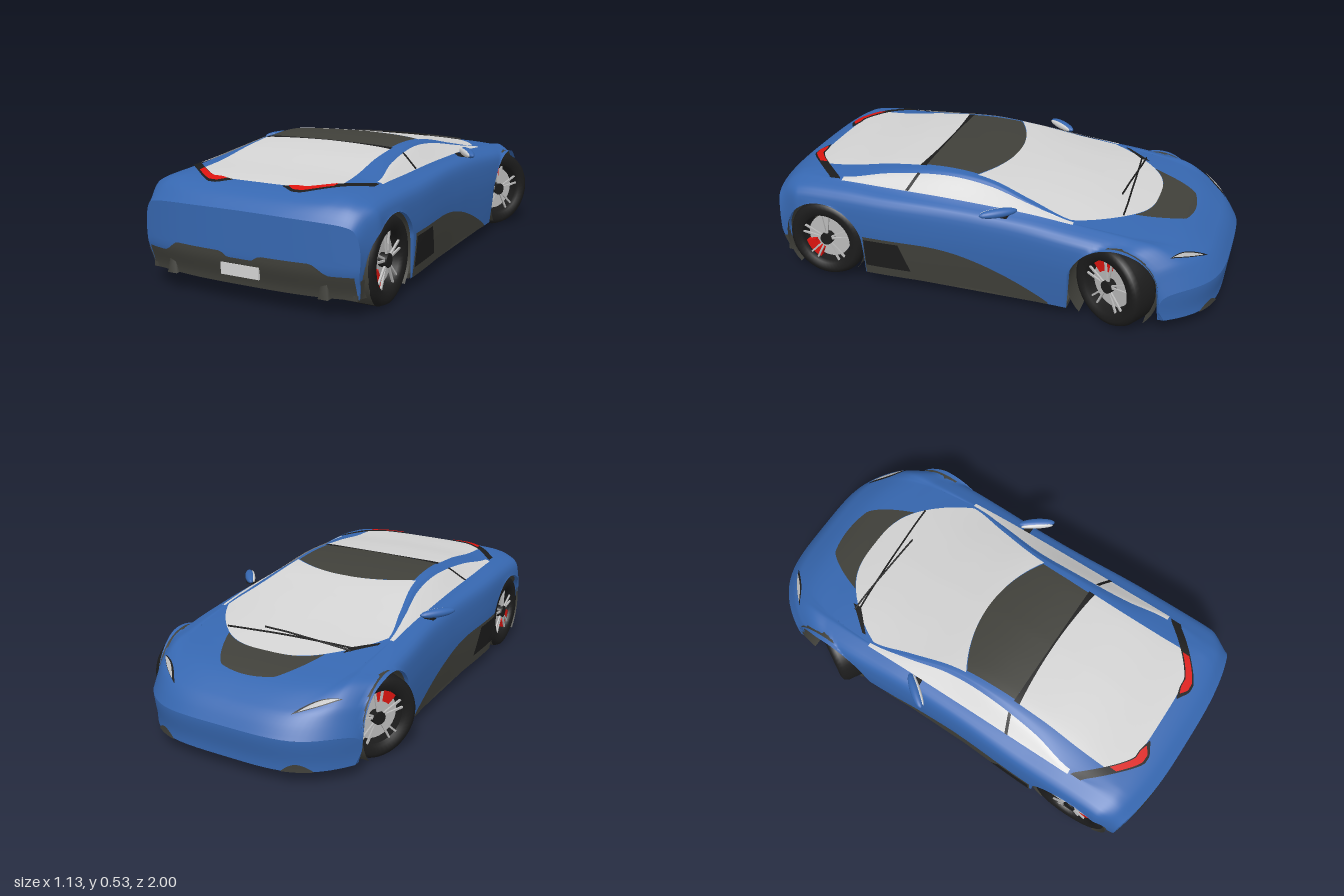
import * as THREE from 'three';

const V = (x, y, z) => new THREE.Vector3(x, y, z);
const mat = (name, color) =>
  Object.assign(new THREE.MeshStandardMaterial({ color, side: THREE.DoubleSide }), { name });
const { clamp, lerp, smoothstep } = THREE.MathUtils;

// Body stations: s, centre height, glass edge x/y, pillar x/y, belt height
const STATIONS = [
  [-1.00, 0.206, 0.20, 0.205, 0.32, 0.202, 0.200],
  [-0.97, 0.252, 0.22, 0.252, 0.33, 0.252, 0.248],
  [-0.93, 0.290, 0.25, 0.293, 0.35, 0.300, 0.302],
  [-0.82, 0.350, 0.33, 0.352, 0.38, 0.358, 0.362],
  [-0.67, 0.385, 0.37, 0.380, 0.395, 0.380, 0.380],
  [-0.38, 0.442, 0.395, 0.414, 0.405, 0.412, 0.408],
  [-0.20, 0.478, 0.355, 0.455, 0.38, 0.448, 0.425],
  [0.00, 0.514, 0.312, 0.503, 0.345, 0.488, 0.434],
  [0.20, 0.528, 0.30, 0.520, 0.342, 0.505, 0.440],
  [0.45, 0.512, 0.30, 0.503, 0.362, 0.485, 0.443],
  [0.65, 0.482, 0.31, 0.472, 0.40, 0.455, 0.446],
  [0.86, 0.455, 0.315, 0.453, 0.37, 0.450, 0.437],
  [0.94, 0.427, 0.30, 0.426, 0.365, 0.423, 0.414],
  [1.00, 0.380, 0.20, 0.377, 0.32, 0.372, 0.360],
];
const AXLES = [-0.58, 0.72], ARCH = 0.188, HUB = 0.178, BELT = 0.425, N = 35;
const halfWidth = s => 0.495 + 0.014 * smoothstep(Math.abs(s), 0.05, 0.5)
  - 0.03 * smoothstep(s, 0.86, 1) - 0.016 * smoothstep(-s, 0.8, 1);
const lowEdge = s => 0.05 + 0.015 * smoothstep(-s, 0.5, 0.75) + 0.03 * smoothstep(s, 0.6, 0.86);

// Smooth interpolation of one column of the station table
function at(s, c) {
  let i = 0;
  while (i < STATIONS.length - 2 && s > STATIONS[i + 1][0]) i++;
  const slope = k => {
    const a = STATIONS[Math.max(k - 1, 0)], b = STATIONS[Math.min(k + 1, STATIONS.length - 1)];
    return (b[c] - a[c]) / (b[0] - a[0]);
  };
  const p = STATIONS[i], q = STATIONS[i + 1], h = q[0] - p[0], t = clamp((s - p[0]) / h, 0, 1);
  const t2 = t * t, t3 = t2 * t;
  return (2 * t3 - 3 * t2 + 1) * p[c] + (t3 - 2 * t2 + t) * h * slope(i)
    + (3 * t2 - 2 * t3) * q[c] + (t3 - t2) * h * slope(i + 1);
}

// Half cross-section from the centre line down to the sill
const cache = new Map();
function section(s) {
  if (!cache.has(s)) {
    const [yc, xg, yg, xp, yp, yb] = [1, 2, 3, 4, 5, 6].map(c => at(s, c));
    const w = halfWidth(s), low = lowEdge(s);
    const pts = [[0, yc], [xg * 0.55, lerp(yc, yg, 0.3)], [xg, yg], [xp, yp], [BELT, yb],
      [w - 0.015, lerp(yb, low, 0.1)], [w, lerp(yb, low, 0.35)],
      [w - 0.004, lerp(yb, low, 0.65)], [w - 0.018, low]];
    cache.set(s, new THREE.SplineCurve(pts.map(p => new THREE.Vector2(...p))).getPoints(N));
  }
  return cache.get(s);
}

// Bends the ends round in plan and tucks the bumpers under
function warp(x, y, s) {
  const u = Math.abs(x) / 0.5, tuck = smoothstep(0.2 - y, 0, 0.12);
  return s + 0.23 * smoothstep(-s, 0.4, 1) * u ** 4 - 0.065 * smoothstep(s, 0.75, 1) * u ** 3
    - 0.03 * tuck * smoothstep(s, 0.88, 1) + 0.015 * tuck * smoothstep(-s, 0.85, 1);
}
function archHeight(z) {
  for (const c of AXLES) if (Math.abs(z - c) < ARCH) return HUB + Math.sqrt(ARCH ** 2 - (z - c) ** 2);
  return 0;
}

// Points lying just above the top surface or just outside the flank
function onTop(x, s, lift = 0.004) {
  const p = section(s), ax = Math.abs(x);
  let i = 0;
  while (i < N - 1 && p[i + 1].x < ax) i++;
  const y = lerp(p[i].y, p[i + 1].y, clamp((ax - p[i].x) / (p[i + 1].x - p[i].x || 1), 0, 1));
  return V(x + Math.sign(x) * lift * 0.5, y + lift, warp(x, y, s));
}
function onSide(side, y, s, lift = 0.004) {
  const p = section(s);
  let i = N - 1;
  while (i > 0 && p[i].y < y) i--;
  const x = lerp(p[i].x, p[i + 1].x, clamp((p[i].y - y) / (p[i].y - p[i + 1].y || 1), 0, 1));
  return V(side * (x + lift), y, warp(x, y, s));
}

// Grid surface from a function of two values in 0..1
function surface(fn, na, nb) {
  const pos = [], idx = [];
  for (let j = 0; j <= nb; j++) for (let i = 0; i <= na; i++) {
    pos.push(...fn(i / na, j / nb).toArray());
    const k = j * (na + 1) + i;
    if (i < na && j < nb) idx.push(k, k + na + 1, k + 1, k + 1, k + na + 1, k + na + 2);
  }
  const g = new THREE.BufferGeometry();
  g.setAttribute('position', new THREE.Float32BufferAttribute(pos, 3));
  g.setIndex(idx);
  g.computeVertexNormals();
  return g;
}

export function createModel() {
  const car = new THREE.Group();
  car.name = 'sportsCar';
  const blue = mat('bodyBlue', 0x3667b0), dark = mat('trimDark', 0x40403a), black = mat('rubberBlack', 0x1c1c1c);
  const glass = mat('glassPale', 0xd3d3d3), silver = mat('metalSilver', 0xbababa), red = mat('signalRed', 0xdc140f);
  const add = (parent, name, geo, m, x = 0, y = 0, z = 0) => {
    const mesh = new THREE.Mesh(geo, m);
    mesh.name = name;
    mesh.position.set(x, y, z);
    parent.add(mesh);
    return mesh;
  };
  const panel = (name, m, fn, na = 24, nb = 24) => add(car, name, surface(fn, na, nb), m);
  const box = (x, y, z) => new THREE.BoxGeometry(x, y, z);

  // Painted shell with open wheel arches, closed by nose and tail faces
  panel('bodyShell', blue, (a, b) => {
    const i = Math.round(a * 2 * N) - N, s = -1 + 2 * b, p = section(s)[Math.abs(i)];
    const z = warp(p.x, p.y, s);
    return V(Math.sign(i) * p.x, p.x > 0.4 ? Math.max(p.y, archHeight(z)) : p.y, z);
  }, 2 * N, 200);
  for (const [name, s] of [['noseFace', -1], ['tailFace', 1]]) panel(name, blue, (a, b) => {
    const p = section(s)[Math.round(b * N)], x = (2 * a - 1) * p.x;
    return V(x, p.y, warp(x, p.y, s));
  }, 30, N);

  // Glass, roof and bonnet panels
  const screenBase = X => -0.67 + 0.29 * Math.abs(X) ** 3;
  const roofFront = X => -0.03 + 0.09 * X * X;
  const rearTop = X => 0.308 + 0.02 * X * X;
  const across = (name, m, from, to, inset = 0) => panel(name, m, (a, b) => {
    const X = 2 * a - 1, s = lerp(from(X), to(X), b);
    return onTop(X * (at(s, 2) - inset), s);
  }, 32, 36);
  across('windscreen', glass, screenBase, roofFront);
  across('roofPanel', dark, roofFront, () => 0.3, 0.008);
  across('roofSeam', black, () => 0.3, rearTop);
  across('rearWindow', glass, rearTop, X => 0.86 - 0.06 * X ** 4);
  panel('bonnetPanel', dark, (a, b) => {
    const X = 2 * a - 1, x = X * lerp(0.12, 0.23, b ** 0.8);
    return onTop(x, lerp(-0.83 + 0.02 * X * X, screenBase(x / 0.385), b));
  });

  // Wipers and their cowl
  for (const [x0, s0, x1, s1] of [[-0.31, -0.55, 0.1, -0.525], [-0.3, -0.53, 0.26, -0.57]]) {
    const path = Array.from({ length: 9 }, (_, i) => onTop(lerp(x0, x1, i / 8), lerp(s0, s1, i / 8), 0.009));
    add(car, 'wiper', new THREE.TubeGeometry(new THREE.CatmullRomCurve3(path), 24, 0.004, 5), black);
  }
  panel('wiperCowl', black, (a, b) =>
    onTop(lerp(-0.29, -0.385, a), lerp(lerp(-0.575, -0.45, a), lerp(-0.53, -0.43, a), b), 0.006), 6, 4);

  for (const side of [-1, 1]) {
    // Side windows with the centre pillar
    const sidePane = (name, m, s0, s1, lean, lift) => panel(name, m, (a, b) => {
      const s = lerp(s0, s1, a) + lean * b;
      return onTop(side * lerp(at(s, 4), BELT - 0.003, b), s, lift);
    }, 40, 10);
    sidePane('sideWindow', glass, -0.39, 0.65, 0, 0.004);
    sidePane('centrePillar', black, 0.305, 0.32, 0.03, 0.007);

    // Sill and intake
    panel('sillPanel', dark, (a, b) => {
      const top = 0.06 + 0.178 * Math.sin(Math.min(a * 1.45, 1) * Math.PI / 2) ** 0.9;
      return onSide(side, lerp(0.052, top, b), lerp(-0.31, 0.525, a));
    }, 40, 10);
    panel('sideIntake', black, (a, b) =>
      onSide(side, lerp(0.095, 0.225, b), lerp(lerp(0.31, 0.36, b), 0.52, a), 0.007), 8, 8);

    // Tail lights with dark surround
    const lamp = (name, m, x0, x1, w, lift) => panel(name, m, (a, b) => {
      const x = lerp(x0, x1, a), s = 0.865 - 0.19 * clamp((x - 0.2) / 0.21, 0, 1) ** 1.3;
      return onTop(side * x, s + w * (b - 0.3) * Math.min(1, a * 5 + 0.1), lift);
    }, 20, 6);
    lamp('tailLampSurround', black, 0.11, 0.415, 0.05, 0.005);
    lamp('tailLamp', red, 0.135, 0.3, 0.035, 0.009);

    // Headlights
    const headlight = (name, m, x0, x1, s0, w, lift) => panel(name, m, (a, b) =>
      onTop(side * lerp(x0, x1, a), lerp(s0, -0.9, a) + w * b * Math.sin(Math.PI * a), lift), 14, 4);
    headlight('headlightSurround', black, 0.27, 0.42, -0.945, 0.032, 0.004);
    headlight('headlight', silver, 0.29, 0.41, -0.938, 0.022, 0.007);

    // Bumper corners
    panel('rearBumperSide', dark, (a, b) => onSide(side, lerp(0.081, 0.16, b), lerp(0.93, 1, a)), 8, 6);
    add(car, 'diffuserFin', new THREE.CylinderGeometry(0.018, 0.03, 0.058, 4, 1).rotateY(Math.PI / 4),
      dark, side * 0.34, 0.108, warp(0.34, 0.1, 1));
    panel('frontSplitter', dark, (a, b) => {
      const x = side * lerp(0.25, 0.37, a), y = lerp(0.066, 0.1, b * Math.sin(Math.PI * a));
      return V(x, y, warp(x, y, -1) - 0.006);
    }, 10, 4);

    // Door mirrors
    const mirror = new THREE.Group();
    mirror.name = 'doorMirror';
    mirror.position.set(side * 0.482, 0.445, -0.09);
    mirror.rotation.y = -side * 0.92;
    car.add(mirror);
    add(mirror, 'mirrorHousing', new THREE.SphereGeometry(1, 24, 14).scale(0.083, 0.019, 0.022), blue);
    add(mirror, 'mirrorGlass', new THREE.SphereGeometry(1, 24, 10).scale(0.074, 0.015, 0.01), glass, 0, 0, 0.014);
    add(car, 'mirrorStalk', box(0.06, 0.012, 0.03), black, side * 0.45, 0.428, -0.11);
  }

  // Rear bumper and plate
  panel('rearBumper', dark, (a, b) => {
    const x = (2 * a - 1) * 0.458, u = Math.abs(x);
    const top = 0.195 + 0.02 * smoothstep(u, 0.05, 0.09) - 0.042 * smoothstep(u, 0.29, 0.37);
    const y = lerp(0.081, top, b);
    return V(x, y, warp(x, y, 1) + 0.004);
  }, 48, 8);
  add(car, 'numberPlate', box(0.17, 0.048, 0.008), glass, 0, 0.147, 0.998);

  // Underbody: notched floor and central tub
  const half = [[0.46, 0.93], [0.46, 0.91], [0.25, 0.91], [0.25, 0.53], [0.482, 0.53], [0.482, -0.39],
    [0.25, -0.39], [0.25, -0.77], [0.46, -0.79], [0.39, -0.89], [0.28, -0.95], [0.12, -0.975]];
  const outline = [...half, ...half.map(([x, z]) => [-x, z]).reverse()].map(p => new THREE.Vector2(...p));
  const floor = new THREE.ExtrudeGeometry(new THREE.Shape(outline), { depth: 0.02, bevelEnabled: false })
    .rotateX(Math.PI / 2).translate(0, 0.068, 0);
  const fp = floor.attributes.position;
  for (let i = 0; i < fp.count; i++) {
    const z = fp.getZ(i);
    fp.setY(i, fp.getY(i) + Math.max(0, z - 0.6) * 0.09 + (z < -0.7 ? 0.014 : 0));
  }
  floor.computeVertexNormals();
  add(car, 'floor', floor, dark);
  add(car, 'underbodyTub', box(0.5, 0.2, 1.66), dark, 0, 0.17, 0.07);

  // Wheels and wheel wells
  const wall = [[0.113, 0.045], [0.12, 0.062], [0.15, 0.066], [0.168, 0.058], [0.177, 0.038]];
  const profile = [...wall.map(([r, y]) => [r, -y]), ...wall.slice().reverse(), [0.113, -0.045]];
  const tyre = new THREE.LatheGeometry(profile.map(p => new THREE.Vector2(...p)), 48).rotateZ(-Math.PI / 2);
  const disc = (r, w, n = 32) => new THREE.CylinderGeometry(r, r, w, n).rotateZ(Math.PI / 2);
  for (const zc of AXLES) for (const side of [-1, 1]) {
    const front = zc < 0;
    add(car, 'wheelWell', new THREE.CylinderGeometry(ARCH + 0.001, ARCH + 0.001, 0.24, 32, 1, true,
      -Math.PI / 4, Math.PI * 1.5).rotateZ(Math.PI / 2), dark, side * 0.371, HUB, zc);
    add(car, 'wheelWellWall', new THREE.CircleGeometry(ARCH, 32, -Math.PI / 4, Math.PI * 1.5).rotateY(Math.PI / 2),
      dark, side * 0.252, HUB, zc);
    const wheel = new THREE.Group();
    wheel.name = front ? 'frontWheel' : 'rearWheel';
    wheel.position.set(side * 0.43, HUB, zc);
    wheel.rotation.y = front ? -Math.PI / 6 : 0;
    car.add(wheel);
    add(wheel, 'tyre', tyre, black);
    add(wheel, 'brakeDisc', disc(0.1, 0.012), silver, side * 0.015);
    add(wheel, 'hub', disc(0.028, 0.045, 10), black, side * 0.035);
    for (let i = 0; i < 10; i++) {
      const ang = (Math.floor(i / 2) * 72 + (i % 2 ? 9 : -9)) * Math.PI / 180;
      add(wheel, 'spoke', box(0.008, 0.09, 0.008).translate(0, 0.07, 0), silver, side * 0.047).rotation.x = ang;
    }
    const mid = (front ? 113 : 222) * Math.PI / 180, arc = new THREE.Shape();
    arc.absarc(0, 0, 0.111, mid - 0.45, mid + 0.45, false);
    arc.absarc(0, 0, 0.066, mid + 0.45, mid - 0.45, true);
    add(wheel, 'brakeCaliper', new THREE.ExtrudeGeometry(arc, { depth: 0.04, bevelEnabled: false })
      .rotateY(Math.PI / 2).translate(-0.02, 0, 0), red, side * 0.022);
  }
  return car;
}
